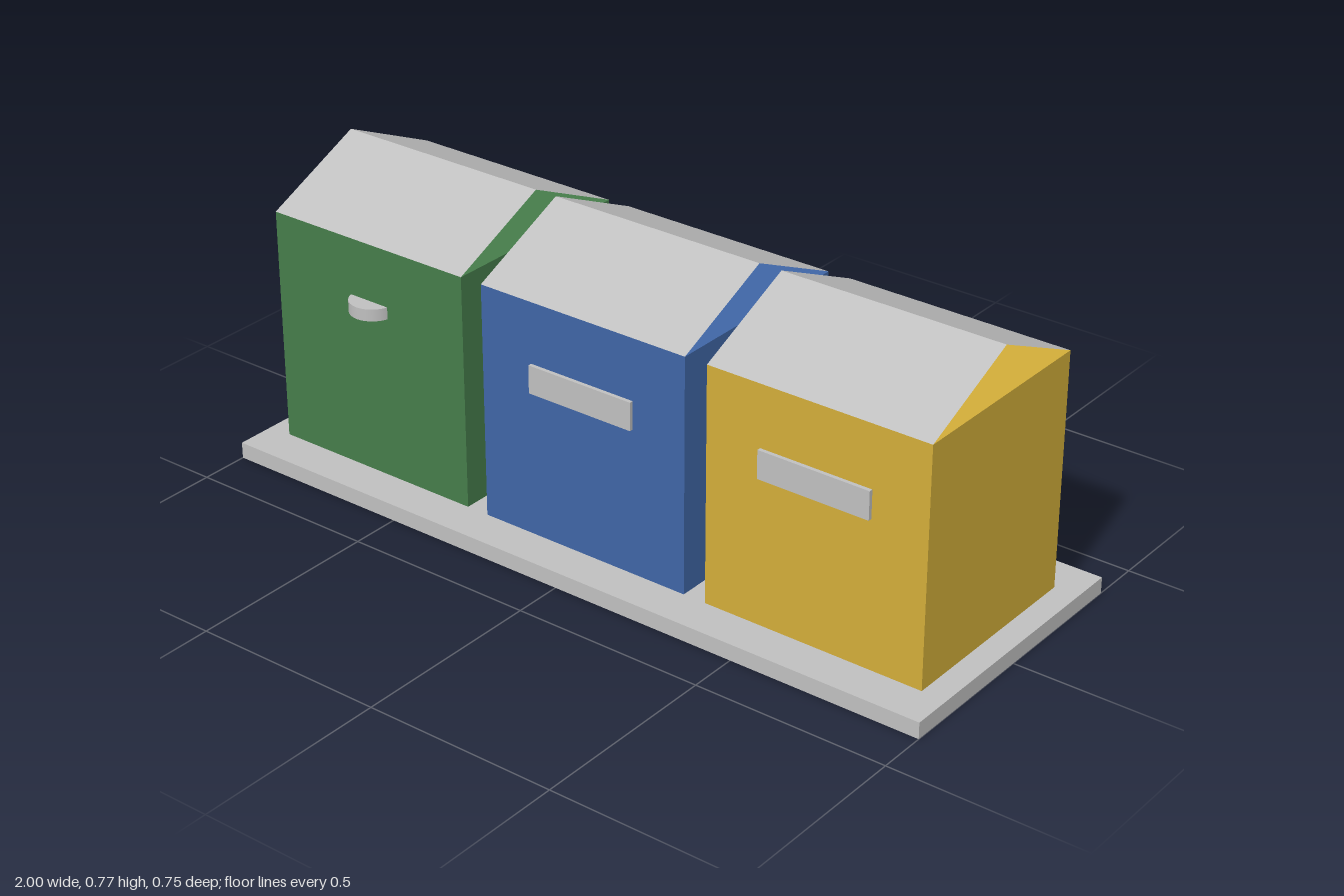
import * as THREE from 'three';

const BASE_TOP = 0.042, WALL_TOP = 0.647, RIDGE = 0.77;
const HALF_W = 0.2925, HALF_D = 0.271;

const paint = (name, color, side = THREE.FrontSide) => {
  const m = new THREE.MeshStandardMaterial({ color, side });
  m.name = name;
  return m;
};

// Box standing on y, without its bottom face
function openBox(w, h, d, y) {
  const g = new THREE.BoxGeometry(w, h, d);
  const index = Array.from(g.index.array);
  index.splice(18, 6); // the fourth face points down
  g.setIndex(index);
  g.clearGroups();
  return g.translate(0, y + h / 2, 0);
}

// Two thin slopes meeting at a ridge, with open gable ends
function gableRoof() {
  const rise = RIDGE - WALL_TOP;
  const length = Math.hypot(rise, HALF_D);
  const group = new THREE.Group();
  for (const s of [1, -1]) {
    const g = new THREE.PlaneGeometry(HALF_W * 2, length);
    g.rotateX(-Math.PI / 2 + Math.atan2(rise, HALF_D));
    g.translate(0, WALL_TOP + rise / 2, HALF_D / 2);
    if (s < 0) g.rotateY(Math.PI);
    group.add(Object.assign(new THREE.Mesh(g), { name: s > 0 ? 'frontSlope' : 'backSlope' }));
  }
  return group;
}

export function createModel() {
  const model = new THREE.Group();
  model.name = 'recyclingStation';
  const grey = paint('grey', 0xc0c0c0, THREE.DoubleSide);

  const add = (parent, name, geometry, material) => {
    const mesh = new THREE.Mesh(geometry, material);
    mesh.name = name;
    parent.add(mesh);
    return mesh;
  };

  // Hollow base slab
  add(model, 'base', openBox(2, BASE_TOP, 0.75, 0), grey);

  const bins = [
    { name: 'greenBin', x: -0.646, color: paint('green', 0x467d4b), round: true },
    { name: 'blueBin', x: -0.001, color: paint('blue', 0x4066a6) },
    { name: 'yellowBin', x: 0.644, color: paint('yellow', 0xd3ae3a) },
  ];

  for (const { name, x, color, round } of bins) {
    const bin = new THREE.Group();
    bin.name = name;
    bin.position.x = x;
    model.add(bin);

    add(bin, 'body', openBox(HALF_W * 2, WALL_TOP - BASE_TOP, HALF_D * 2, BASE_TOP), color);

    const roof = gableRoof();
    roof.name = 'roof';
    roof.children.forEach((slope) => { slope.material = grey; });
    bin.add(roof);

    // Round disc or flat plate at the opening
    if (round) {
      add(bin, 'openingDisc', new THREE.CylinderGeometry(0.06, 0.06, 0.031, 32), grey)
        .position.set(0, 0.483, 0.255);
    } else {
      add(bin, 'openingPlate', new THREE.BoxGeometry(0.294, 0.072, 0.02), grey)
        .position.set(0, 0.454, 0.271);
    }
  }
  return model;
}
